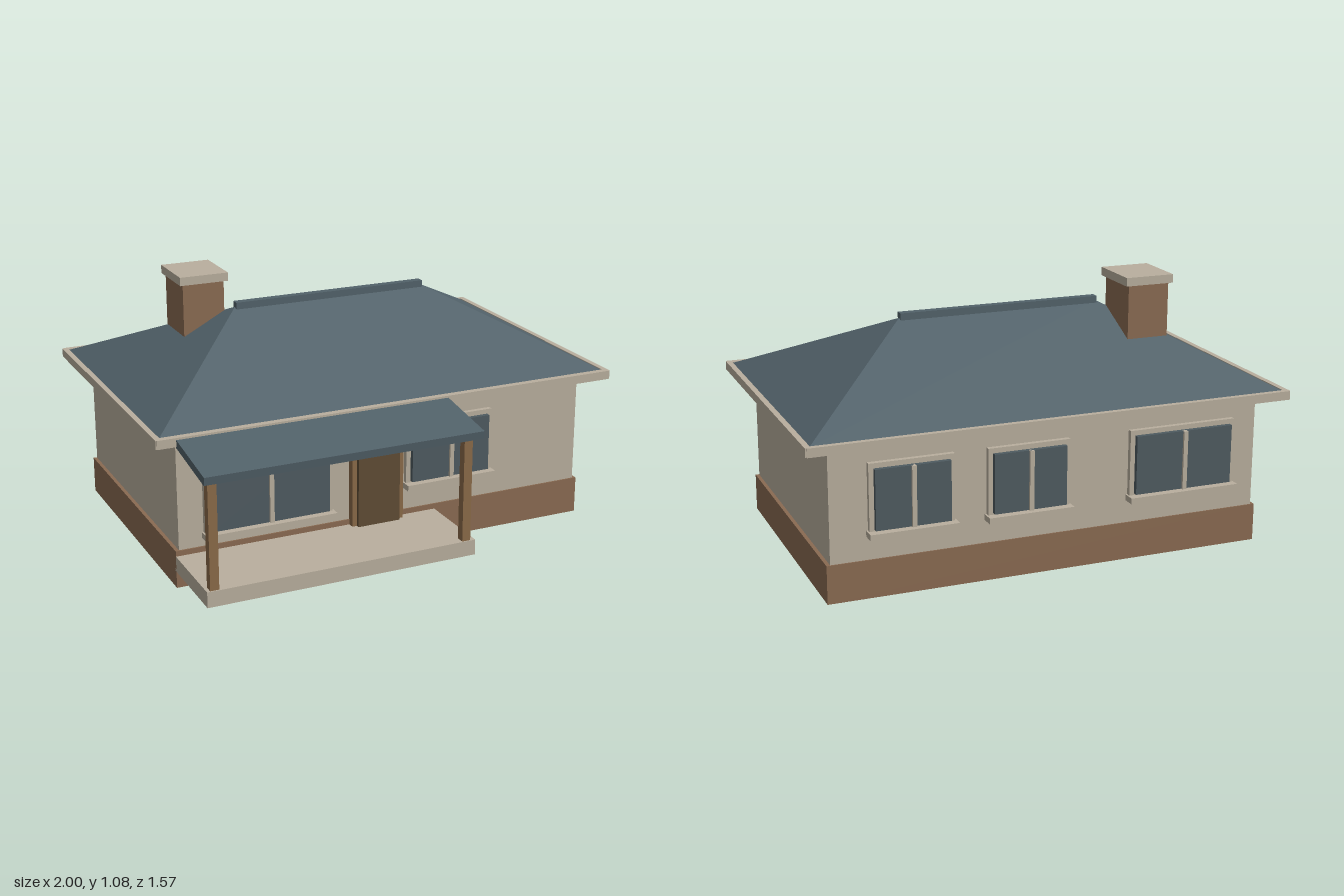
import * as THREE from 'three';

const mat = (name, color) => {
  const m = new THREE.MeshStandardMaterial({ color });
  m.name = name;
  return m;
};

export function createModel() {
  const plaster = mat('plaster', 0xb9af9e);
  const brick = mat('brick', 0x8a6b52);
  const wood = mat('wood', 0x8a6a48);
  const doorWood = mat('doorWood', 0x5f4c35);
  const slate = mat('slate', 0x52626a);
  const glass = mat('glass', 0x4f5b61);

  const house = new THREE.Group();
  house.name = 'house';

  // Box given by its limits along each axis
  const box = (name, material, [x0, x1], [y0, y1], [z0, z1], parent = house) => {
    const mesh = new THREE.Mesh(new THREE.BoxGeometry(x1 - x0, y1 - y0, z1 - z0), material);
    mesh.position.set((x0 + x1) / 2, (y0 + y1) / 2, (z0 + z1) / 2);
    mesh.name = name;
    parent.add(mesh);
    return mesh;
  };

  // Body
  box('plinth', brick, [-0.91, 0.91], [0, 0.155], [-0.695, 0.41]);
  box('walls', plaster, [-0.895, 0.895], [0.15, 0.645], [-0.69, 0.404]);

  // Hipped roof: four slopes and an underside, unshared corners for flat faces
  const ex = 0.98, zb = -0.762, zf = 0.467, ey = 0.648, rx = 0.43, ry = 0.937, rz = -0.147;
  const A = [-ex, ey, zf], B = [ex, ey, zf], C = [ex, ey, zb], D = [-ex, ey, zb];
  const L = [-rx, ry, rz], R = [rx, ry, rz];
  const triangles = [A, B, R, A, R, L, B, C, R, C, D, L, C, L, R, D, A, L, A, D, C, A, C, B];
  const roofGeometry = new THREE.BufferGeometry();
  roofGeometry.setAttribute('position', new THREE.Float32BufferAttribute(triangles.flat(), 3));
  roofGeometry.computeVertexNormals();
  const roof = new THREE.Mesh(roofGeometry, slate);
  roof.name = 'hippedRoof';
  house.add(roof);
  box('ridgeCap', slate, [-rx, rx], [0.925, 0.958], [-0.164, -0.13]);

  // Eaves boards around the roof edge
  const eaves = new THREE.Group();
  eaves.name = 'eavesBoards';
  house.add(eaves);
  const eaveY = [0.617, 0.653];
  box('frontEavesBoard', plaster, [-0.995, 0.995], eaveY, [0.466, 0.494], eaves);
  box('backEavesBoard', plaster, [-0.995, 0.995], eaveY, [-0.784, -0.761], eaves);
  for (const s of [-1, 1]) {
    const x = s < 0 ? [-1, -0.977] : [0.977, 1];
    box('sideEavesBoard', plaster, x, eaveY, [-0.78, 0.49], eaves);
  }

  // Chimney
  box('chimney', brick, [-0.643, -0.465], [0.7, 1.046], [-0.391, -0.179]);
  box('chimneyCap', plaster, [-0.657, -0.449], [1.045, 1.08], [-0.404, -0.168]);

  // Porch: floor, posts and sloping roof
  box('porchFloor', plaster, [-0.91, 0.22], [0.069, 0.133], [0.4, 0.757]);
  for (const x of [-0.878, 0.182]) {
    box('porchPost', wood, [x - 0.018, x + 0.018], [0.13, 0.59], [0.717, 0.752]);
  }
  const slope = Math.atan(0.15), length = 0.32, thick = 0.033;
  const porchRoof = box('porchRoof', slate, [-0.92, 0.23], [0, thick], [0, length]);
  porchRoof.rotation.x = slope;
  porchRoof.position.set(-0.345, 0.608, 0.628);

  // Windows, built facing +z with the wall at z = 0
  const addWindow = (name, x, y0, y1, width, wallZ, back = false) => {
    const g = new THREE.Group();
    g.name = name;
    const h = width / 2;
    box('windowFrame', plaster, [-h - 0.02, h + 0.02], [y0 - 0.02, y1 + 0.02], [-0.005, 0.02], g);
    box('windowGlass', glass, [-h, h], [y0, y1], [0.01, 0.039], g);
    box('windowMullion', plaster, [-0.009, 0.009], [y0, y1], [0.03, 0.049], g);
    box('windowSill', plaster, [-h - 0.027, h + 0.027], [y0 - 0.031, y0 - 0.007], [-0.005, 0.054], g);
    g.position.set(x, 0, wallZ);
    if (back) g.rotation.y = Math.PI;
    house.add(g);
  };
  addWindow('largeFrontWindow', -0.521, 0.222, 0.541, 0.502, 0.404);
  addWindow('smallFrontWindow', 0.276, 0.283, 0.521, 0.352, 0.404);
  for (const [x, w] of [[0.575, 0.3], [0.1, 0.3], [-0.56, 0.42]]) {
    addWindow('backWindow', x, 0.28, 0.521, w, -0.69, true);
  }

  // Front door
  box('doorFrame', wood, [-0.168, 0.06], [0.13, 0.543], [0.4, 0.437]);
  box('door', doorWood, [-0.147, 0.037], [0.132, 0.521], [0.43, 0.452]);

  return house;
}
